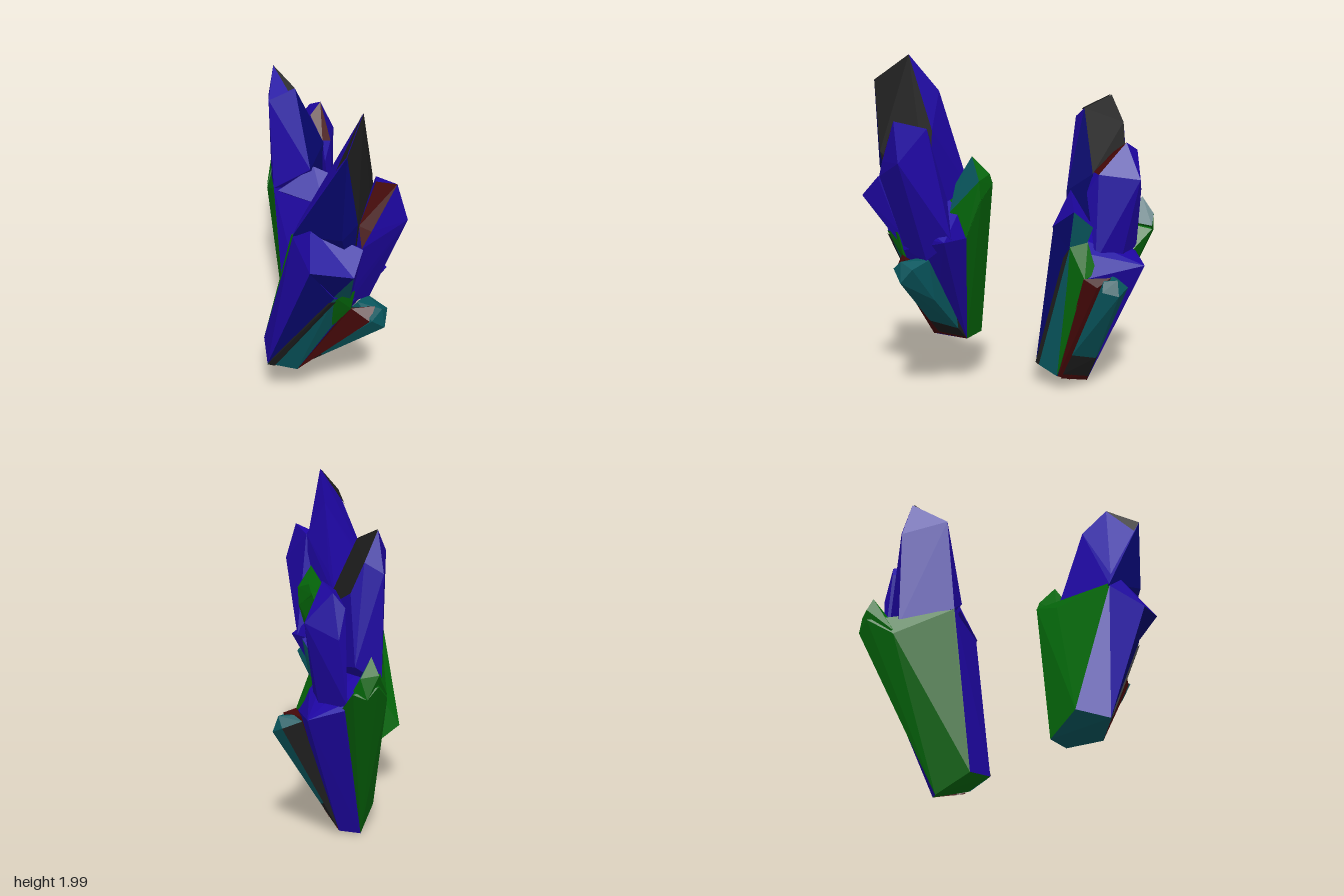
import * as THREE from 'three';
import { ConvexGeometry } from 'three/addons/geometries/ConvexGeometry.js';

const palette = {
  violet: 0x1e06a2, navy: 0x06066c, green: 0x04680a, teal: 0x08585f, charcoal: 0x1e1e1e, maroon: 0x440808,
};
const names = Object.keys(palette);

export function createModel() {
  const materials = names.map((name) => {
    const m = new THREE.MeshStandardMaterial({ color: palette[name] });
    m.name = name;
    return m;
  });

  // A faceted shard: hull of its corners; each facet takes the colour of the nearest paint direction
  function shard(name, corners, paint) {
    const geo = new ConvexGeometry(corners.map((c) => new THREE.Vector3(...c)));
    const dirs = paint.map(([colour, ...d]) => [names.indexOf(colour), new THREE.Vector3(...d).normalize()]);
    const pos = geo.attributes.position;
    const tri = new THREE.Triangle();
    const n = new THREE.Vector3();
    for (let i = 0; i < pos.count; i += 3) {
      tri.setFromAttributeAndIndices(pos, i, i + 1, i + 2).getNormal(n);
      const best = dirs.reduce((a, b) => (b[1].dot(n) > a[1].dot(n) ? b : a));
      geo.addGroup(i, 3, best[0]);
    }
    const mesh = new THREE.Mesh(geo, materials);
    mesh.name = name;
    return mesh;
  }

  // A shard in one colour
  const plain = (name, colour, corners) => shard(name, corners, [[colour, 0, 1, 0]]);

  // Small teal shard: straight edges from foot to tip, banded maroon and charcoal at the foot
  function smallShard(edges, crown) {
    const ring = (t) => edges.map(([p, q]) => p.map((v, i) => v + (q[i] - v) * t));
    return cluster('smallShard',
      plain('sole', 'maroon', [...ring(0), ...ring(0.05)]),
      plain('foot', 'charcoal', [...ring(0.05), ...ring(0.28)]),
      shard('blade', [...ring(0.28), ...ring(1), ...crown],
        [['teal', 0.3, -0.3, 0.9], ['teal', 1, 0, 0.3], ['teal', 0, 1, 0.2], ['teal', -1, 0, 0],
          ['charcoal', 0.4, -0.4, -0.85]]));
  }

  function cluster(name, ...shards) {
    const g = new THREE.Group();
    g.name = name;
    g.add(...shards);
    return g;
  }

  // Foot of each cluster, running back-left, front-left, front, right, back-right
  const a = [[-0.48, 0.43, 0], [-0.6, 0.39, 0.15], [-0.46, 0.32, 0.25], [-0.27, 0.3, 0.16], [-0.27, 0.32, 0.03]];
  const b = [[0, 0.12, -0.31], [0.03, 0.14, -0.13], [0.2, 0.09, -0.13], [0.27, 0.03, -0.33], [0.17, 0.01, -0.4]];
  const aToe = [-0.42, 0.32, 0.235];

  const clusterA = cluster('forwardLeaningCluster',
    shard('body', [...a,
      [-0.52, 1.27, 0.29], [-0.61, 1.18, 0.5], [-0.5, 1.0, 0.57], [-0.37, 0.9, 0.57],
      [-0.06, 0.98, 0.56], [-0.06, 0.98, 0.38], [-0.16, 1.24, 0.24]],
    [['teal', -0.45, -0.35, 0.8], ['navy', -0.85, -0.2, 0.45], ['violet', -0.8, 0.25, -0.55],
      ['violet', 0.3, -0.5, 0.8], ['violet', 0.95, -0.3, 0.1], ['violet', 0.85, 0.5, 0], ['green', 0.3, 0.3, -0.9],
      ['green', 0.9, -0.1, -0.45], ['violet', 0, 1, 0.3], ['teal', 0, -1, 0]]),
    plain('edgeFacet', 'charcoal', [[-0.605, 0.39, 0.155], [-0.572, 0.373, 0.18], [-0.485, 0.97, 0.568],
      [-0.512, 0.98, 0.563], [-0.5, 0.9, 0.45]]),
    plain('upperFacet', 'green', [[-0.49, 0.96, 0.558], [-0.49, 1.0, 0.582], [-0.38, 1.01, 0.61],
      [-0.37, 0.87, 0.575], [-0.4, 0.7, 0.458], [-0.44, 0.84, 0.52], [-0.4, 0.9, 0.5]]),

    shard('mainSpire', [
      [-0.3, 2.0, 0.57], [-0.5, 1.86, 0.645], [-0.22, 1.8, 0.42], [-0.17, 1.59, 0.53], [-0.44, 1.47, 0.67],
      [-0.5, 1.38, 0.62], [-0.51, 1.36, 0.32], [-0.17, 1.39, 0.32], [-0.52, 1.28, 0.29], [-0.16, 1.23, 0.24],
      [-0.17, 1.15, 0.56], [-0.4, 1.1, 0.6]],
    [['charcoal', 0.3, 0.07, 0.95], ['violet', 1, 0, 0], ['violet', 0, 0.1, -1], ['violet', -0.9, 0.2, -0.4],
      ['navy', -0.9, 0, 0.4], ['navy', -0.2, -0.3, 0.92]]),
    plain('spireEdge', 'charcoal', [[-0.303, 1.998, 0.566], [-0.503, 1.861, 0.642], [-0.506, 1.77, 0.58],
      [-0.45, 1.85, 0.6]]),

    shard('frontSpire', [
      [-0.24, 1.65, 0.75], [-0.18, 1.43, 0.78], [-0.18, 1.6, 0.56], [-0.25, 1.62, 0.62], [-0.42, 1.45, 0.66],
      [-0.38, 1.42, 0.71], [-0.43, 1.33, 0.69], [-0.17, 1.2, 0.42], [-0.2, 0.86, 0.56], [-0.37, 0.9, 0.56],
      [-0.38, 1.02, 0.6], [-0.06, 0.98, 0.5]],
    [['maroon', -0.65, 0.65, 0.35], ['violet', -0.9, -0.3, 0.4], ['violet', 0, 0, 1], ['violet', 1, 0, 0],
      ['violet', 0.3, 0.9, -0.3], ['violet', 0, -1, 0], ['violet', 0, 0, -1]]),

    shard('leftSpire', [
      [-0.53, 1.22, 0.73], [-0.61, 1.18, 0.5], [-0.5, 1.0, 0.56], [-0.37, 0.9, 0.56], [-0.38, 1.02, 0.6],
      [-0.43, 1.33, 0.7], [-0.5, 1.38, 0.4], [-0.52, 1.27, 0.29], [-0.3, 1.25, 0.5]],
    [['teal', -0.15, -0.62, 0.77], ['teal', -0.25, -0.3, 0.92], ['violet', 0.5, -0.1, 0.85],
      ['navy', -0.8, -0.45, 0.4], ['violet', -1, 0.2, 0], ['violet', -0.3, 0.9, 0.3], ['violet', 0, 0, -1]]),

    plain('backSlab', 'green', [a[0], a[3], a[4],
      [-0.52, 1.28, 0.28], [-0.16, 1.23, 0.23], [0.02, 1.29, 0.245], [0.03, 1.2, 0.355], [-0.06, 0.98, 0.38],
      [-0.16, 1.1, 0.39]]),
    shard('slabTip', [
      [-0.05, 1.44, 0.34], [0.02, 1.34, 0.27], [0.03, 1.31, 0.37], [0.03, 1.2, 0.36], [-0.06, 0.98, 0.385],
      [-0.16, 1.12, 0.41], [-0.15, 1.28, 0.37], [-0.14, 1.23, 0.25], [0.02, 1.28, 0.245]],
    [['teal', 0.15, 0.35, 0.92], ['green', 0.41, -0.1, 0.9], ['green', 1, 0, 0], ['green', 0, 0.3, -1],
      ['green', 0.3, 1, -0.2], ['green', -0.9, 0.3, 0], ['green', 0, -1, 0]]),

    plain('redSeam', 'maroon', [a[2], aToe, [-0.375, 0.875, 0.58], [-0.27, 0.875, 0.66], [-0.33, 0.81, 0.675],
      [-0.3, 0.8, 0.5]]),
    smallShard([
      [aToe, [-0.33, 0.82, 0.69]], [aToe, [-0.25, 0.75, 0.715]], [a[3], [-0.19, 0.83, 0.68]],
      [a[3], [-0.2, 0.62, 0.5]], [[-0.36, 0.33, 0.18], [-0.29, 0.86, 0.55]], [a[3], [-0.2, 0.86, 0.54]]],
    [[-0.26, 0.87, 0.7]]));

  const clusterB = cluster('backwardLeaningCluster',
    shard('body', [...b,
      [0.035, 1.06, -0.42], [0.16, 1.0, -0.13], [0.3, 0.88, -0.11], [0.4, 0.72, -0.12],
      [0.585, 0.77, -0.46], [0.44, 0.82, -0.58], [0.24, 0.93, -0.65]],
    [['navy', 0, 0, 1], ['green', 0.48, -0.08, 0.87], ['violet', 0.87, -0.25, 0.43], ['violet', 0.76, 0.44, 0.48],
      ['violet', 0.69, -0.4, -0.6], ['green', -0.55, -0.08, -0.83], ['violet', -1, 0.05, 0.1],
      ['violet', -0.85, 0.14, 0.5], ['violet', 0.2, 1, 0.2], ['green', -0.27, -0.9, 0.3]]),
    plain('edgeFacet', 'charcoal', [[0.032, 0.145, -0.124], [0.06, 0.135, -0.122], [0.305, 0.9, -0.1],
      [0.255, 0.83, -0.104], [0.17, 0.5, -0.2]]),
    plain('frontFacet', 'teal', [[0.06, 0.135, -0.122], [0.2, 0.092, -0.122], [0.287, 0.7, -0.104],
      [0.305, 0.9, -0.1], [0.2, 0.4, -0.2]]),
    plain('sideFacet', 'green', [[0.2, 0.092, -0.122], [0.287, 0.7, -0.104], [0.305, 0.9, -0.1],
      [0.405, 0.72, -0.112], [0.425, 0.75, -0.2], [0.36, 0.92, -0.2]]),

    shard('mainSpire', [
      [0.23, 1.75, -0.6], [0.19, 1.68, -0.38], [0.06, 1.62, -0.47], [0.32, 1.59, -0.6], [0.24, 1.53, -0.66],
      [0.37, 1.43, -0.55], [0.33, 1.31, -0.28], [0.17, 1.2, -0.24], [0.035, 1.06, -0.42],
      [0.24, 0.95, -0.65], [0.38, 1.05, -0.6], [0.36, 1.0, -0.3]],
    [['charcoal', 0.88, 0.38, 0.28], ['navy', -0.3, 0.25, 0.9], ['violet', -0.85, 0.08, 0.52],
      ['violet', -1, 0, -0.2], ['violet', -0.5, 0.8, 0], ['violet', 0, 0, -1], ['violet', 0.97, -0.1, 0.2],
      ['violet', 0.8, -0.1, -0.6], ['violet', 0.3, -0.8, 0.5]]),
    plain('spireEdge', 'charcoal', [[0.227, 1.755, -0.598], [0.187, 1.685, -0.378], [0.155, 1.67, -0.402],
      [0.2, 1.66, -0.45]]),

    shard('frontSpire', [
      [0.46, 1.49, -0.43], [0.47, 1.44, -0.53], [0.37, 1.43, -0.43], [0.33, 1.32, -0.29], [0.38, 1.31, -0.27],
      [0.57, 1.28, -0.42], [0.42, 1.36, -0.57], [0.47, 1.2, -0.58], [0.46, 0.8, -0.4], [0.38, 0.8, -0.25],
      [0.31, 1.2, -0.25], [0.43, 0.85, -0.6]],
    [['maroon', -0.5, 0.7, 0.4], ['violet', 0.3, 0, 0.9], ['violet', 1, 0, 0], ['violet', 0, 0.3, -1],
      ['violet', 0, 0.7, -0.7], ['violet', -1, -0.3, 0.3], ['violet', -0.35, 0.15, 0.92], ['violet', 0, -1, 0]]),

    shard('leftSpire', [
      [0.34, 1.11, -0.09], [0.03, 1.06, -0.38], [0.16, 1.0, -0.12], [0.3, 0.88, -0.1],
      [0.2, 1.21, -0.24], [0.36, 1.0, -0.25], [0.33, 0.86, -0.2]],
    [['violet', -0.3, 0.8, 0.5], ['navy', 0, -0.3, 0.95], ['teal', 0.9, -0.2, 0.3], ['violet', 0.5, 0.8, -0.2],
      ['violet', -1, 0, 0], ['violet', 0, -0.3, -1]]),

    plain('backSlab', 'green', [b[0], b[4],
      [0.04, 1.05, -0.43], [0.235, 0.88, -0.69], [0.44, 0.92, -0.77], [0.37, 0.98, -0.775],
      [0.475, 0.94, -0.7], [0.33, 0.97, -0.61], [0.43, 0.82, -0.55]]),
    shard('slabTip', [
      [0.38, 1.13, -0.73], [0.37, 1.04, -0.78], [0.44, 0.92, -0.77], [0.46, 1.03, -0.74], [0.475, 0.96, -0.7],
      [0.33, 0.99, -0.61], [0.235, 0.9, -0.69]],
    [['teal', 0.6, 0.5, 0.6], ['green', 0, 0, -1], ['green', -0.7, 0.6, -0.2], ['green', 0.8, 0, -0.6],
      ['green', 0, -1, 0]]),

    plain('redSeam', 'maroon', [b[2], [0.24, 0.06, -0.2], [0.4, 0.725, -0.108], [0.54, 0.74, -0.18],
      [0.48, 0.68, -0.13], [0.42, 0.7, -0.24]]),
    smallShard([
      [[0.22, 0.08, -0.135], [0.52, 0.66, -0.125]], [b[3], [0.605, 0.64, -0.17]], [b[3], [0.605, 0.68, -0.26]],
      [[0.24, 0.09, -0.2], [0.51, 0.72, -0.15]], [b[3], [0.5, 0.71, -0.3]]],
    [[0.58, 0.73, -0.19], [0.51, 0.735, -0.24]]));

  const model = new THREE.Group();
  model.name = 'crystalClusters';
  model.add(clusterA, clusterB);
  return model;
}
